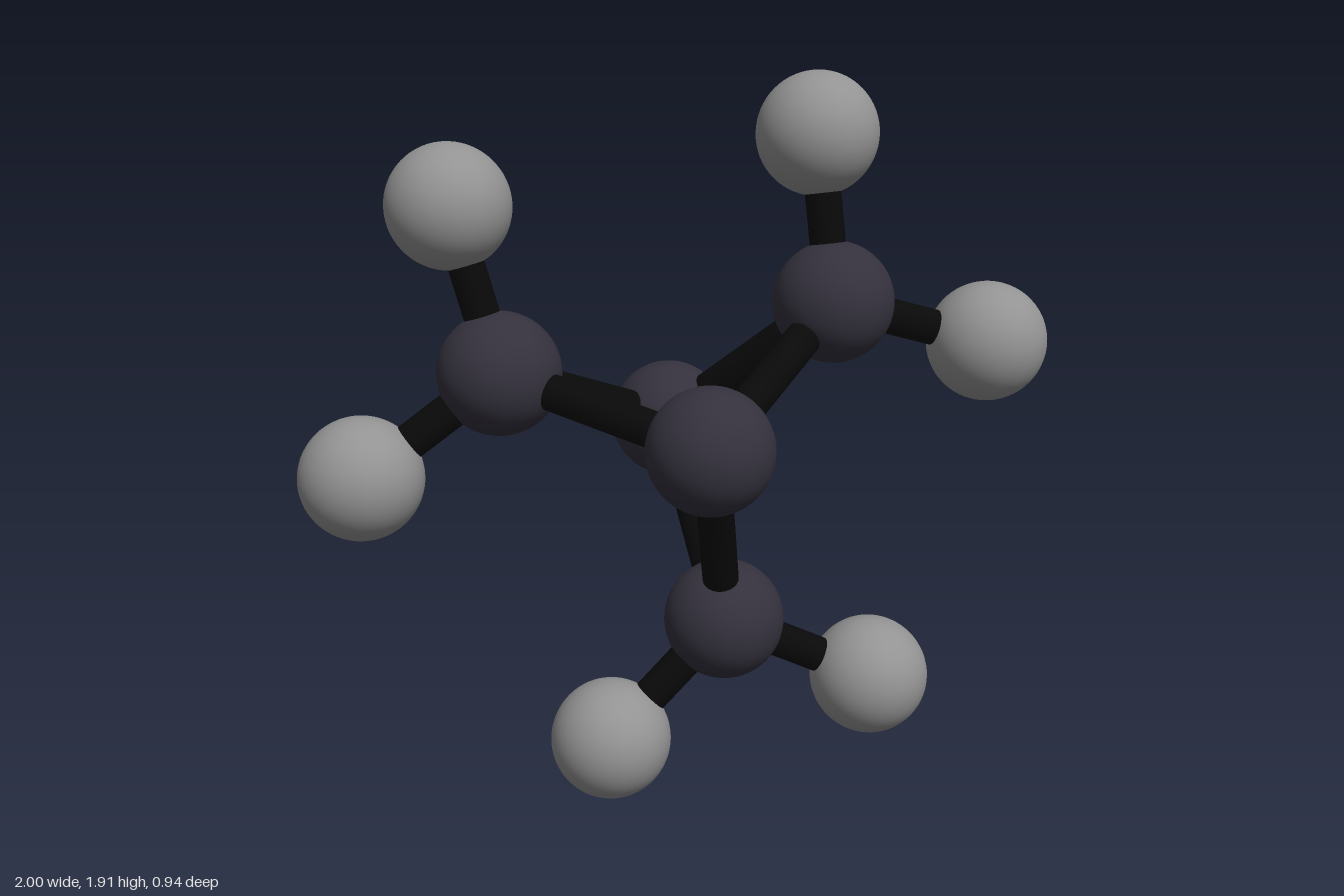
import * as THREE from 'three';

const ATOM_RADIUS = 0.162;
const BOND_RADIUS = 0.048;

// Atom centres: two bridgeheads, three outer carbons, six hydrogens
const carbons = {
  frontBridge: [-0.02, 1.025, 0.31],
  backBridge: [0.04, 0.94, -0.31],
  rightCarbon: [-0.475, 1.16, -0.075],
  leftCarbon: [0.41, 1.315, 0],
  lowerCarbon: [0.09, 0.475, 0.075],
};
const hydrogens = {
  rightCarbon: [[-0.58, 1.585, -0.145], [-0.84, 0.905, -0.08]],
  leftCarbon: [[0.38, 1.75, -0.07], [0.835, 1.195, 0.055]],
  lowerCarbon: [[-0.23, 0.165, 0.085], [0.49, 0.29, 0.14]],
};

export function createModel() {
  const model = new THREE.Group();
  const carbonMaterial = new THREE.MeshStandardMaterial({ color: 0x34313d });
  const hydrogenMaterial = new THREE.MeshStandardMaterial({ color: 0x939393 });
  const bondMaterial = new THREE.MeshStandardMaterial({ color: 0x090909 });
  const sphere = new THREE.SphereGeometry(ATOM_RADIUS, 48, 32);
  const rod = new THREE.CylinderGeometry(BOND_RADIUS, BOND_RADIUS, 1, 24);
  const up = new THREE.Vector3(0, 1, 0);

  function addAtom(name, position, material) {
    const atom = new THREE.Mesh(sphere, material);
    atom.name = name;
    atom.position.set(...position);
    model.add(atom);
  }

  // Rod stretched between two atom centres
  function addBond(name, from, to) {
    const a = new THREE.Vector3(...from);
    const b = new THREE.Vector3(...to);
    const bond = new THREE.Mesh(rod, bondMaterial);
    bond.name = name;
    bond.position.copy(a).lerp(b, 0.5);
    bond.scale.y = a.distanceTo(b);
    bond.quaternion.setFromUnitVectors(up, b.sub(a).normalize());
    model.add(bond);
  }

  for (const [name, position] of Object.entries(carbons)) addAtom(name, position, carbonMaterial);

  // Central bond, then each outer carbon tied to both bridgeheads
  addBond('centralBond', carbons.frontBridge, carbons.backBridge);
  for (const [name, pair] of Object.entries(hydrogens)) {
    const centre = carbons[name];
    addBond(`${name}FrontBond`, centre, carbons.frontBridge);
    addBond(`${name}BackBond`, centre, carbons.backBridge);
    pair.forEach((position, i) => {
      addAtom(`${name}Hydrogen${i + 1}`, position, hydrogenMaterial);
      addBond(`${name}HydrogenBond${i + 1}`, centre, position);
    });
  }
  return model;
}
